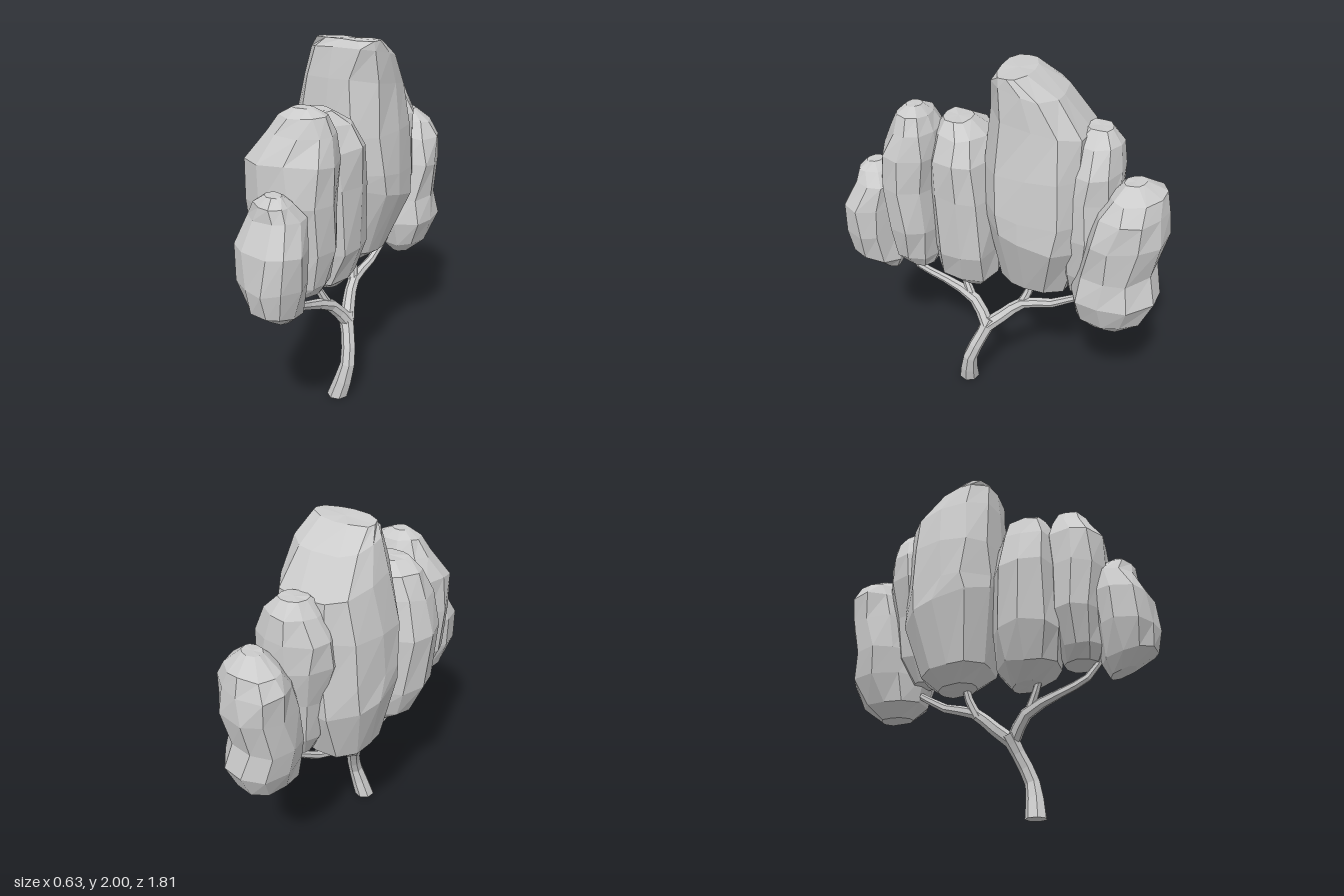
import * as THREE from 'three';

const material = new THREE.MeshStandardMaterial({ color: 0xcccccc, flatShading: true });

// Small repeatable noise in -1..1
function seeded(seed) {
  let s = seed * 7919 + 17;
  return () => {
    s = (s * 16807) % 2147483647;
    return (s / 2147483647) * 2 - 1;
  };
}

// Skins a stack of equal-sized rings of Vector3 (anticlockwise from above), with both ends capped
function skin(rings) {
  const n = rings[0].length;
  const points = rings.flat();
  const index = [];
  for (let r = 0; r < rings.length - 1; r++) {
    for (let i = 0; i < n; i++) {
      const a = r * n + i, b = r * n + (i + 1) % n;
      index.push(a, b, b + n, a, b + n, a + n);
    }
  }
  const centre = (ring) => ring.reduce((c, p) => c.add(p), new THREE.Vector3()).divideScalar(n);
  const bottom = points.push(centre(rings[0])) - 1;
  const top = points.push(centre(rings[rings.length - 1])) - 1;
  const last = (rings.length - 1) * n;
  for (let i = 0; i < n; i++) {
    const j = (i + 1) % n;
    index.push(bottom, j, i, top, last + i, last + j);
  }
  const geometry = new THREE.BufferGeometry().setFromPoints(points);
  geometry.setIndex(index);
  const flat = geometry.toNonIndexed();
  flat.computeVertexNormals();
  return flat;
}

// Leaf clump from rounded-square sections [y, xMin, xMax, zMin, zMax, slope along z];
// skew slides each section along z in proportion to x
function clump({ sections, skew, sides = 10, rough = 0.05, power = 2.3 }, seed) {
  const rnd = seeded(seed);
  return skin(sections.map(([y, x0, x1, z0, z1, slope = 0]) => {
    const ring = [];
    for (let i = 0; i < sides; i++) {
      const a = rnd() * 0.1 - (i / sides) * Math.PI * 2;
      const c = Math.cos(a), s = Math.sin(a);
      const square = (Math.abs(c) ** power + Math.abs(s) ** power) ** (-1 / power);
      const r = square * (1.01 + rnd() * rough);
      const dx = c * r * (x1 - x0) / 2;
      const dz = s * r * (z1 - z0) / 2;
      ring.push(new THREE.Vector3(
        (x0 + x1) / 2 + dx,
        y + slope * dz + rnd() * rough * (x1 - x0) * 0.5,
        (z0 + z1) / 2 + dz + skew * dx));
    }
    return ring;
  }));
}

// Tapered limb through points [x, y, z, radius]; the first ring can lie level
function limb(path, level = false, sides = 7) {
  const curve = new THREE.CatmullRomCurve3(path.map(([x, y, z]) => new THREE.Vector3(x, y, z)));
  const steps = (path.length - 1) * 2;
  const rings = [];
  for (let s = 0; s <= steps; s++) {
    const t = s / steps;
    const k = Math.min(Math.floor(s / 2), path.length - 2);
    const radius = THREE.MathUtils.lerp(path[k][3], path[k + 1][3], s / 2 - k);
    const centre = curve.getPoint(t);
    const dir = level && s === 0 ? new THREE.Vector3(0, 1, 0) : curve.getTangent(t);
    const u = new THREE.Vector3(1, 0, 0).addScaledVector(dir, -dir.x).normalize();
    const v = new THREE.Vector3().crossVectors(dir, u);
    const ring = [];
    for (let i = 0; i < sides; i++) {
      const a = (i / sides) * Math.PI * 2;
      ring.push(centre.clone()
        .addScaledVector(u, Math.cos(a) * radius)
        .addScaledVector(v, Math.sin(a) * radius));
    }
    rings.push(ring);
  }
  return skin(rings);
}

const clumps = {
  frontLowClump: { skew: 0.15, sections: [
    [0.72, 0.05, 0.15, 0.64, 0.78, 0.4], [0.80, -0.02, 0.24, 0.60, 0.89, 0.2],
    [0.96, -0.08, 0.28, 0.59, 0.91], [1.14, -0.10, 0.29, 0.58, 0.89],
    [1.28, -0.05, 0.25, 0.58, 0.82], [1.35, 0.00, 0.20, 0.64, 0.81],
    [1.39, 0.06, 0.15, 0.69, 0.77]] },
  frontTallClump: { skew: -0.05, sections: [
    [0.79, 0.00, 0.18, 0.39, 0.59], [0.86, -0.08, 0.24, 0.37, 0.63],
    [1.05, -0.17, 0.28, 0.35, 0.65], [1.30, -0.18, 0.30, 0.35, 0.68],
    [1.50, -0.17, 0.29, 0.33, 0.67], [1.63, -0.08, 0.25, 0.34, 0.60],
    [1.71, -0.02, 0.22, 0.38, 0.56], [1.75, 0.05, 0.15, 0.43, 0.51]] },
  frontMiddleClump: { skew: -0.12, sections: [
    [0.69, -0.05, 0.11, 0.11, 0.28, 0.1], [0.77, -0.17, 0.20, 0.04, 0.39],
    [0.95, -0.27, 0.26, 0.02, 0.42], [1.30, -0.28, 0.28, 0.02, 0.43],
    [1.50, -0.23, 0.26, 0.05, 0.42], [1.62, -0.18, 0.20, 0.09, 0.38],
    [1.68, -0.08, 0.12, 0.18, 0.34]] },
  crownClump: { skew: 0, sides: 12, rough: 0.02, power: 2.8, sections: [
    [0.70, -0.13, 0.06, -0.29, -0.08, 0.1], [0.78, -0.22, 0.17, -0.38, 0.01, 0.1],
    [1.14, -0.32, 0.30, -0.47, 0.08, 0.28], [1.27, -0.32, 0.30, -0.47, 0.09, 0.1],
    [1.50, -0.31, 0.28, -0.46, 0.08], [1.75, -0.26, 0.24, -0.45, 0.06, 0.2],
    [1.92, -0.20, 0.23, -0.31, 0.04, 0.2], [1.99, -0.15, 0.21, -0.15, 0.01, 0.05]] },
  backMiddleClump: { skew: -0.1, sections: [
    [0.79, -0.02, 0.12, -0.50, -0.38], [0.93, -0.10, 0.17, -0.58, -0.33],
    [1.17, -0.14, 0.21, -0.62, -0.31], [1.38, -0.21, 0.21, -0.63, -0.30],
    [1.53, -0.20, 0.20, -0.63, -0.32], [1.66, -0.15, 0.13, -0.61, -0.35],
    [1.73, -0.09, 0.06, -0.55, -0.42]] },
  backLowClump: { skew: 0.15, sections: [
    [0.62, 0.04, 0.17, -0.72, -0.54], [0.70, -0.05, 0.25, -0.81, -0.46],
    [0.84, -0.11, 0.31, -0.88, -0.43], [1.00, -0.15, 0.29, -0.84, -0.46],
    [1.20, -0.16, 0.30, -0.88, -0.49], [1.35, -0.16, 0.28, -0.87, -0.54],
    [1.44, -0.12, 0.22, -0.85, -0.59], [1.50, 0.00, 0.13, -0.75, -0.65]] },
};

const limbs = {
  trunk: [[0.13, 0, 0.195, 0.06], [0.178, 0.2, 0.165, 0.043],
    [0.14, 0.36, 0.1, 0.04], [0.1, 0.46, 0.06, 0.046]],
  frontBranch: [[0.12, 0.42, 0.075, 0.04], [0.07, 0.55, 0.17, 0.036],
    [0.05, 0.635, 0.37, 0.026], [0.07, 0.71, 0.52, 0.022], [0.09, 0.86, 0.63, 0.015]],
  frontTwig: [[0.06, 0.58, 0.2, 0.027], [0.04, 0.66, 0.24, 0.022], [0.02, 0.76, 0.28, 0.016]],
  backBranch: [[0.12, 0.42, 0.075, 0.042], [0.08, 0.49, -0.01, 0.038],
    [0.05, 0.585, -0.12, 0.033], [0.06, 0.64, -0.3, 0.026], [0.08, 0.8, -0.55, 0.016]],
  backTwig: [[0.05, 0.56, -0.1, 0.03], [0.03, 0.66, -0.145, 0.025], [0, 0.8, -0.17, 0.018]],
};

export function createModel() {
  const tree = new THREE.Group();
  tree.name = 'tree';
  const add = (name, geometry) => {
    const mesh = new THREE.Mesh(geometry, material);
    mesh.name = name;
    tree.add(mesh);
  };

  // Trunk and forked branches
  for (const [name, path] of Object.entries(limbs)) add(name, limb(path, name === 'trunk'));

  // Faceted leaf clumps
  Object.entries(clumps).forEach(([name, shape], i) => add(name, clump(shape, i + 3)));

  return tree;
}
